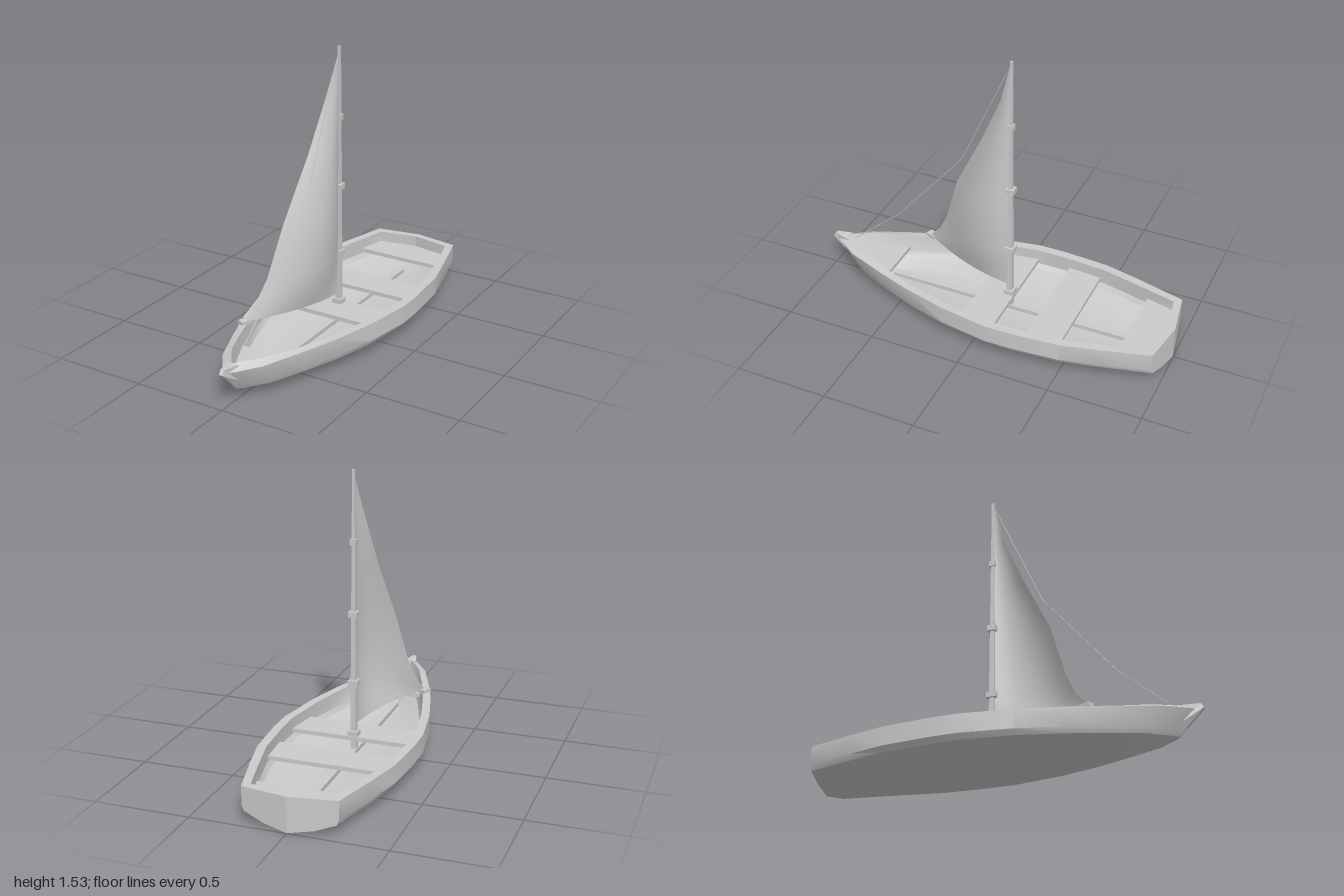
import * as THREE from 'three';
import { toCreasedNormals } from 'three/addons/utils/BufferGeometryUtils.js';

const material = new THREE.MeshStandardMaterial({ color: 0xcccccc, side: THREE.DoubleSide });

// Plan stations, stern to bow: outer z, outer half width, inner z, inner half width
const stations = [
  [-0.957, 0.243, -0.92, 0.21], [-0.7, 0.312, -0.7, 0.265], [-0.5, 0.36, -0.5, 0.312],
  [-0.24, 0.38, -0.24, 0.333], [-0.095, 0.38, -0.095, 0.333], [0.17, 0.335, 0.17, 0.29],
  [0.41, 0.27, 0.4, 0.228], [0.62, 0.195, 0.6, 0.162], [0.82, 0.116, 0.78, 0.09],
  [0.937, 0.035, 0.89, 0.015], [0.975, 0, 0.91, 0],
];
// Hull section from rail to keel: width factor, y, how far the bow reaches at that height
const outerSection = [[1, 0.187, 1], [1, 0.09, 0.91], [0.95, 0.062, 0.877], [0.53, 0.025, 0.7], [0, 0.003, 0.606]];
const innerSection = [[1, 0.187, 1], [1, 0.1, 0.92], [0.94, 0.075, 0.9], [0.53, 0.045, 0.8], [0, 0.03, 0.75]];

// Surface through rows of [x, y, z] points
function loft(rows, crease = 0.5) {
  const n = rows[0].length, index = [];
  for (let r = 0; r < rows.length - 1; r++) {
    for (let i = 0; i < n - 1; i++) {
      const a = r * n + i, b = a + n;
      index.push(a, b, a + 1, a + 1, b, b + 1);
    }
  }
  const g = new THREE.BufferGeometry();
  g.setAttribute('position', new THREE.Float32BufferAttribute(rows.flat(2), 3));
  g.setIndex(index);
  g.computeVertexNormals();
  return toCreasedNormals(g, crease);
}

const mirror = (points) => points.map(([x, y, z]) => [-x, y, z]);
const rake = (z, f) => (z > 0.2 ? 0.2 + (z - 0.2) * f : z);
const railRise = (z) => 0.025 * THREE.MathUtils.smoothstep(z, 0.4, 0.92);

// Half section at a station; the stern one bows out towards the middle
function half(station, inner) {
  const z = station[inner ? 2 : 0], w = station[inner ? 3 : 1];
  return (inner ? innerSection : outerSection).map(([f, y, reach], i) => [
    w * f,
    y + (inner && i === 0 ? railRise(z) : 0),
    rake(z, reach) - (station === stations[0] ? 0.04 * (1 - f) : 0),
  ]);
}

const fullRow = (station, inner) => {
  const h = half(station, inner);
  return [...h, ...mirror(h.slice(0, -1)).reverse()];
};

// Inner half width at any z, for fitting the benches
function innerWidth(z) {
  for (let i = 1; i < stations.length; i++) {
    const [a, b] = [stations[i - 1], stations[i]];
    if (z <= b[2]) return THREE.MathUtils.mapLinear(z, a[2], b[2], a[3], b[3]);
  }
  return 0;
}

export function createModel() {
  const boat = new THREE.Group();
  const add = (name, geometry, x = 0, y = 0, z = 0, parent = boat) => {
    const mesh = new THREE.Mesh(geometry, material);
    mesh.name = name;
    mesh.position.set(x, y, z);
    parent.add(mesh);
    return mesh;
  };

  // Hull skins
  add('hullOuter', loft(stations.map((s) => fullRow(s, false))));
  add('hullInner', loft(stations.map((s) => fullRow(s, true))));

  // Transom, two flat panels meeting on the centre line
  for (const inner of [false, true]) {
    const side = half(stations[0], inner);
    const z = side[side.length - 1][2];
    add(inner ? 'transomInner' : 'transom', loft([side, side.map((p) => [0, p[1], z]), mirror(side)], 0.1));
  }

  // Rail around the whole top edge
  const edge = (inner) => {
    const pts = stations.map((s) => half(s, inner)[0]);
    const stern = [0, 0.187, inner ? -0.96 : -0.997];
    return [...mirror(pts).reverse(), stern, ...pts];
  };
  add('rail', loft([edge(false), edge(true)]));

  // Benches and end decks, cut to the inside of the hull
  const plank = (name, zs, sternPoint) => {
    const right = zs.map((z) => [innerWidth(z), z]);
    const left = right.map(([x, z]) => [-x, z]).reverse();
    const outline = [...right, ...left];
    if (sternPoint) outline.push([0, sternPoint]);
    const shape = new THREE.Shape(outline.map(([x, z]) => new THREE.Vector2(x, z)));
    const g = new THREE.ExtrudeGeometry(shape, { depth: 0.022, bevelEnabled: false });
    g.rotateX(Math.PI / 2);
    add(name, g, 0, 0.128, 0);
  };
  plank('sternBench', [-0.92, -0.765], -0.955);
  plank('middleBench', [-0.475, -0.29]);
  plank('mastBench', [-0.105, 0.08]);
  plank('bowDeck', [0.6, 0.78, 0.88]);

  // Keelson along the floor
  add('keelson', new THREE.BoxGeometry(0.04, 0.03, 1.4), 0, 0.04, -0.08);

  // Stem head: side profile, pinched to a point at the front
  const profile = [[0.88, 0.07], [1, 0.19], [0.985, 0.213], [0.9, 0.208], [0.89, 0.12]];
  const stem = new THREE.ExtrudeGeometry(
    new THREE.Shape(profile.map(([z, y]) => new THREE.Vector2(-z, y))),
    { depth: 0.066, bevelEnabled: false, steps: 2 },
  );
  stem.translate(0, 0, -0.033).rotateY(Math.PI / 2);
  const p = stem.attributes.position;
  for (let i = 0; i < p.count; i++) {
    const z = p.getZ(i), y = p.getY(i);
    p.setX(i, p.getX(i) * (z > 0.95 ? 0.3 : 1) * (y < 0.1 ? 0.3 : 1));
  }
  stem.computeVertexNormals();
  add('stemHead', stem);

  // Square tapered mast with its step and bands
  const mast = new THREE.Group();
  mast.name = 'mast';
  mast.position.z = -0.077;
  boat.add(mast);
  const pole = new THREE.CylinderGeometry(0.009, 0.022, 1.49, 4).toNonIndexed();
  pole.rotateY(Math.PI / 4);
  pole.computeVertexNormals();
  add('mastPole', pole, 0, 0.785, 0, mast);
  add('mastStep', new THREE.BoxGeometry(0.054, 0.03, 0.054), 0, 0.14, 0, mast);
  for (const [y, s] of [[0.418, 0.05], [0.787, 0.046], [1.162, 0.032]]) {
    add('mastBand', new THREE.BoxGeometry(s, 0.03, s), 0, y, 0, mast);
  }

  // Sail: free edge x, y, z, then mast edge height and depth of the belly
  const sailRows = [
    [-0.21, 0.2, 0.5, 0.18, 0.04], [-0.187, 0.28, 0.43, 0.27, 0.065], [-0.155, 0.4, 0.37, 0.4, 0.085],
    [-0.11, 0.68, 0.28, 0.68, 0.07], [-0.065, 1, 0.12, 1, 0.035], [-0.035, 1.27, 0, 1.27, 0.015],
    [0, 1.5, -0.069, 1.5, 0],
  ].map(([x, y, z, luffY, belly]) => Array.from({ length: 9 }, (_, i) => {
    const u = i / 8;
    return [x * u + belly * 4 * u * (1 - u), luffY + (y - luffY) * u, -0.07 + (z + 0.07) * u];
  }));
  add('sail', loft(sailRows, 1));
  add('sailCleat', new THREE.BoxGeometry(0.04, 0.02, 0.06), -0.212, 0.198, 0.49).rotation.y = -0.4;

  // Forestay in three straight runs
  const stay = [[1.5, -0.07], [0.9, 0.2], [0.45, 0.58], [0.2, 0.87]].map(([y, z]) => new THREE.Vector3(0, y, z));
  for (let i = 0; i < 3; i++) {
    add('forestay', new THREE.TubeGeometry(new THREE.LineCurve3(stay[i], stay[i + 1]), 1, 0.002, 5));
  }
  return boat;
}
